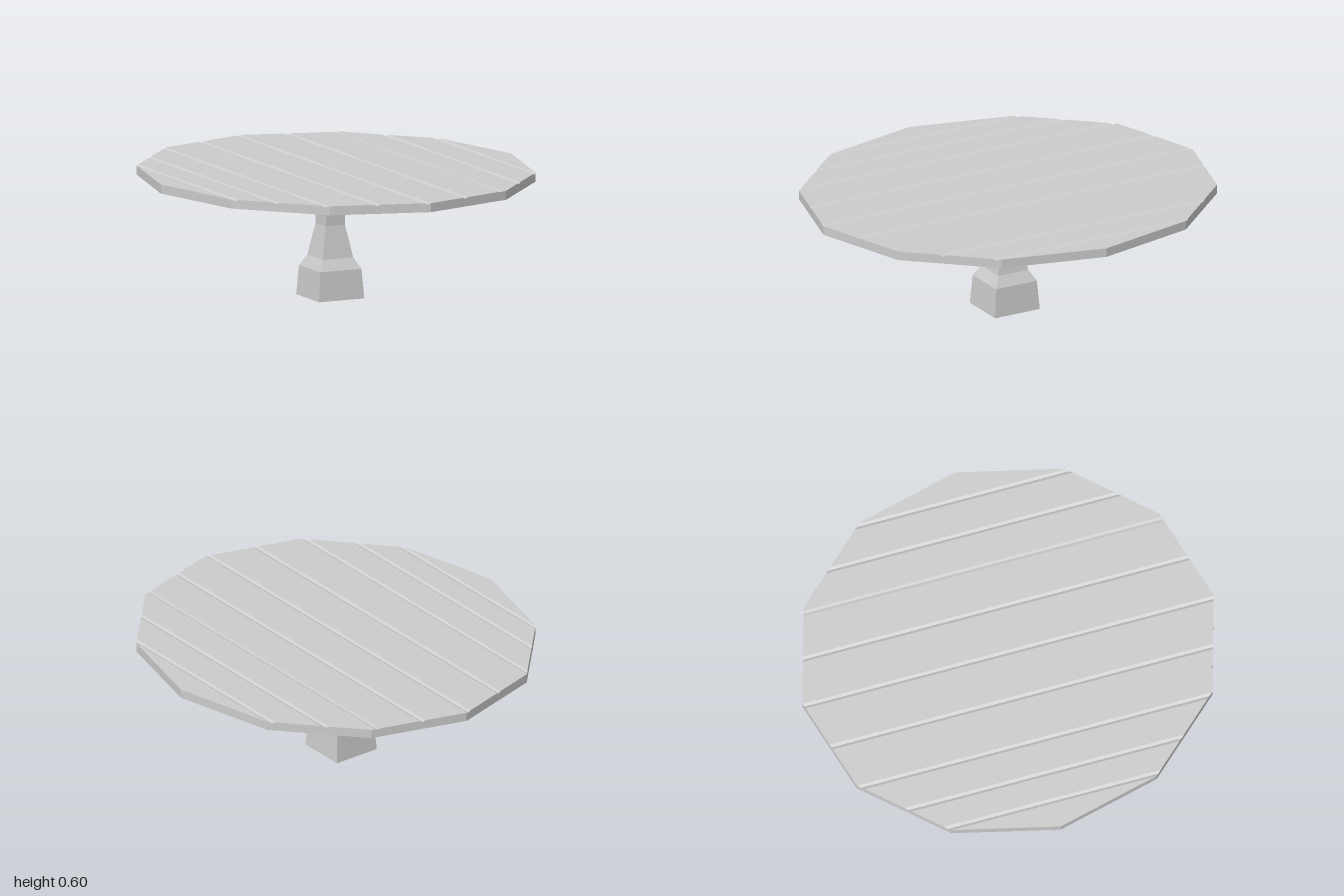
import * as THREE from 'three';

const material = new THREE.MeshStandardMaterial({ color: 0xcccccc, flatShading: true });

// Skin four-cornered rings, listed counter-clockwise about the loft direction, and cap both ends
function loft(rings) {
  const pos = [];
  const quad = (a, b, c, d) => pos.push(...a, ...b, ...c, ...a, ...c, ...d);
  for (let i = 0; i < rings.length - 1; i++) {
    for (let j = 0; j < 4; j++) {
      const k = (j + 1) % 4;
      quad(rings[i][j], rings[i][k], rings[i + 1][k], rings[i + 1][j]);
    }
  }
  quad(...[...rings[0]].reverse());
  quad(...rings[rings.length - 1]);
  const geo = new THREE.BufferGeometry();
  geo.setAttribute('position', new THREE.Float32BufferAttribute(pos, 3));
  geo.computeVertexNormals();
  return geo;
}

export function createModel() {
  const group = new THREE.Group();
  const add = (name, geo) => {
    const mesh = new THREE.Mesh(geo, material);
    mesh.name = name;
    group.add(mesh);
    return mesh;
  };

  // Twelve-sided plank top, cut into slices across x with shallow V grooves
  const rim = [[0, 1], [0.46, 0.865], [0.795, 0.5], [0.916, 0]];
  const halfDepth = (x) => {
    const ax = Math.abs(x);
    const i = ax < rim[1][0] ? 0 : ax < rim[2][0] ? 1 : 2;
    const [x0, z0] = rim[i], [x1, z1] = rim[i + 1];
    return z0 + (z1 - z0) * (ax - x0) / (x1 - x0);
  };
  const top = 0.603, under = 0.56, grooveHalf = 0.013;
  const grooves = [
    [-0.783, 0.007], [-0.643, 0.007], [-0.476, 0.007], [-0.245, 0.007], [-0.015, 0.007],
    [0.212, 0.007], [0.43, 0.003], [0.607, 0.007], [0.78, 0.007],
  ];
  const topAt = (x) => grooves.reduce(
    (y, [g, depth]) => y - depth * Math.max(0, 1 - Math.abs(x - g) / grooveHalf), top);
  const stations = rim.flatMap(([x]) => (x ? [-x, x] : [0]));
  for (const [g] of grooves) stations.push(g - grooveHalf, g, g + grooveHalf);
  stations.sort((a, b) => a - b);
  add('tabletop', loft(stations.map((x) => {
    const z = halfDepth(x), y = topAt(x);
    return [[x, under, -z], [x, y, -z], [x, y, z], [x, under, z]];
  })));

  // Square pedestal: height, half width, half depth
  const cx = -0.03;
  const sections = [
    [0, 0.118, 0.121], [0.14, 0.108, 0.111], [0.192, 0.08, 0.081],
    [0.345, 0.05, 0.054], [0.56, 0.047, 0.056],
  ];
  add('pedestal', loft(sections.map(([y, w, d]) => [
    [cx - w, y, d], [cx + w, y, d], [cx + w, y, -d], [cx - w, y, -d],
  ])));

  // Crossed braces under the top; the front-to-back one has chamfered ends
  const w = 0.048;
  add('sideBrace', new THREE.BoxGeometry(1.16, 0.02, 2 * w)).position.set(cx, 0.551, 0);
  const braceEnds = [[-0.643, 0.55], [-0.602, 0.541], [0.602, 0.541], [0.643, 0.55]];
  add('lengthBrace', loft(braceEnds.map(([z, y]) => [
    [cx - w, y, z], [cx + w, y, z], [cx + w, 0.561, z], [cx - w, 0.561, z],
  ])));

  return group;
}
